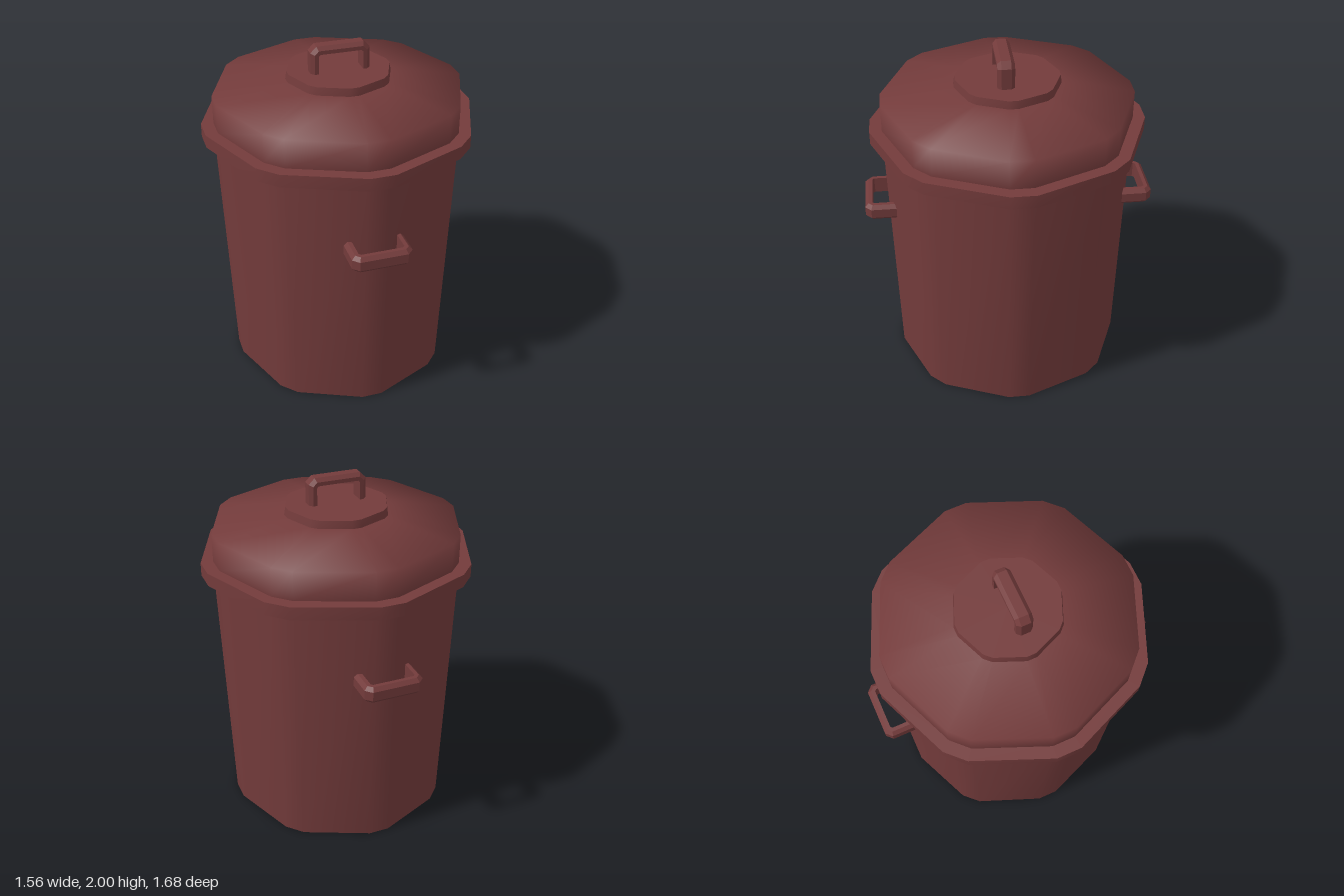
import * as THREE from 'three';
import { toCreasedNormals } from 'three/addons/utils/BufferGeometryUtils.js';

// Skin a list of closed rings (each a list of [x, y, z])
function loft(rings, creaseDegrees) {
  const n = rings[0].length;
  const index = [];
  for (let r = 0; r < rings.length - 1; r++) {
    for (let i = 0; i < n; i++) {
      const a = r * n + i, b = r * n + (i + 1) % n;
      index.push(a, a + n, b, b, a + n, b + n);
    }
  }
  const geometry = new THREE.BufferGeometry();
  geometry.setAttribute('position', new THREE.Float32BufferAttribute(rings.flat(2), 3));
  geometry.setIndex(index);
  return toCreasedNormals(geometry, THREE.MathUtils.degToRad(creaseDegrees));
}

// Octagon with narrow bevelled corners; rx and rz reach its flats
function ring(rx, y, rz = rx) {
  const points = [];
  const bevel = THREE.MathUtils.degToRad(5.2);
  for (let k = 0; k < 8; k++) {
    for (const side of [-1, 1]) {
      const a = k * Math.PI / 4 + side * bevel;
      const s = 1 / Math.cos(bevel);
      points.push([rx * s * Math.cos(a), y, rz * s * Math.sin(a)]);
    }
  }
  return points;
}

// Bracket handle standing on y = 0, with chamfered corners and bevelled outer edges
function handleGeometry() {
  const half = 0.17, height = 0.18, chamfer = 0.035;
  const section = [[0, 0.027], [0, -0.027], [0.02, -0.048], [0.042, -0.048], [0.042, 0.048], [0.02, 0.048]];
  const slope = Math.tan(Math.PI / 8);
  // Path points, each inset by d towards the opening
  const path = [
    d => [-half + d, 0],
    d => [-half + d, height - chamfer - slope * d],
    d => [-half + chamfer + slope * d, height - d],
    d => [half - chamfer - slope * d, height - d],
    d => [half - d, height - chamfer - slope * d],
    d => [half - d, 0],
  ];
  return loft(path.map(at => section.map(([d, w]) => [...at(d), w])), 10);
}

export function createModel() {
  const group = new THREE.Group();
  const material = new THREE.MeshStandardMaterial({ color: 0x733b3b });
  const add = (name, geometry) => {
    const mesh = new THREE.Mesh(geometry, material);
    mesh.name = name;
    group.add(mesh);
    return mesh;
  };

  // Tapered bin body, slightly narrower in x at the foot
  add('body', loft([ring(0, 0), ring(0.65, 0, 0.68), ring(0.71, 1.48), ring(0, 1.48)], 35));

  // Lid: overhanging rim, soft-shouldered dome and raised centre plate
  add('lidRim', loft([ring(0, 1.495), ring(0.78, 1.495), ring(0.78, 1.57), ring(0.70, 1.57)], 35));
  add('lidDome', loft([ring(0.71, 1.57), ring(0.71, 1.735), ring(0.3, 1.8)], 89));
  add('lidPlate', loft([ring(0.3, 1.8), ring(0.293, 1.845), ring(0, 1.845)], 35));

  // One handle on the lid, one on the front and one on the back
  const handle = handleGeometry();
  add('lidHandle', handle).position.set(-0.005, 1.82, 0.022);
  for (const [name, side] of [['frontHandle', 1], ['backHandle', -1]]) {
    const mesh = add(name, handle);
    mesh.position.set(-0.005, 1.08, side * 0.66);
    mesh.rotation.x = side * Math.PI / 2;
  }
  return group;
}
